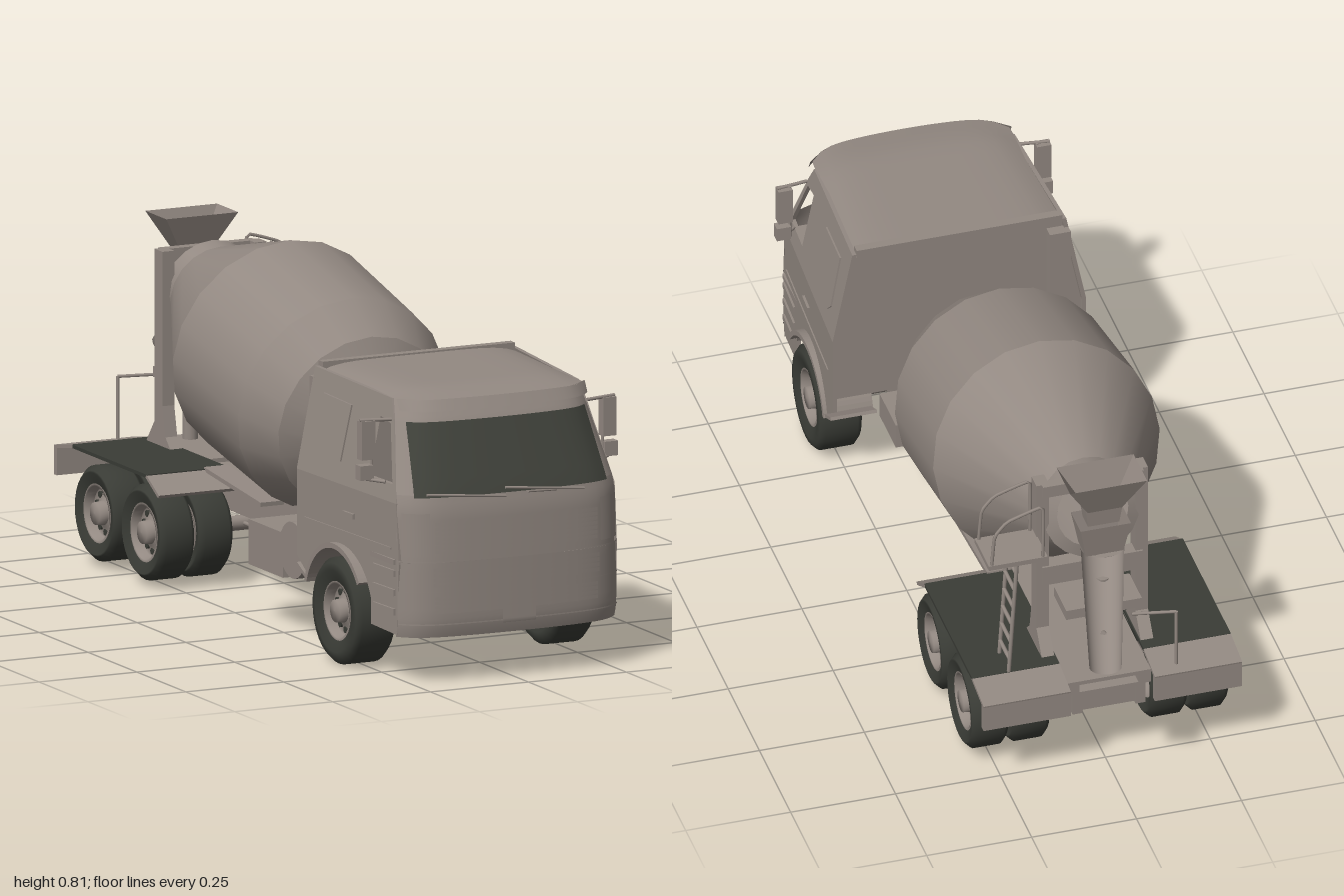
import * as THREE from 'three';

const M = (name, color, side = THREE.DoubleSide) => Object.assign(new THREE.MeshStandardMaterial({ color, side }), { name });
const V = (x, y, z) => new THREE.Vector3(x, y, z);
const lerp = THREE.MathUtils.lerp;

export function createModel() {
  const paint = M('greyBeigePaint', 0x938982);
  const glass = M('darkGlass', 0x40423b, THREE.FrontSide);
  const rubber = M('blackRubber', 0x3a3c36);
  const root = new THREE.Group();
  root.name = 'concreteMixerTruck';

  const add = (name, geo, mat = paint, parent = root) => {
    const m = new THREE.Mesh(geo, mat);
    m.name = name;
    parent.add(m);
    return m;
  };
  // Box given by its limits on each axis
  const box = (name, x0, x1, y0, y1, z0, z1, mat = paint) => {
    const m = add(name, new THREE.BoxGeometry(x1 - x0, y1 - y0, z1 - z0), mat);
    m.position.set((x0 + x1) / 2, (y0 + y1) / 2, (z0 + z1) / 2);
  };
  // Round bar between two points
  const rod = (name, a, b, r = 0.004, mat = paint, r2 = r, seg = 8) => {
    const d = b.clone().sub(a);
    const m = add(name, new THREE.CylinderGeometry(r2, r, d.length(), seg), mat);
    m.position.copy(a).addScaledVector(d, 0.5);
    m.quaternion.setFromUnitVectors(V(0, 1, 0), d.normalize());
  };
  // Flat plate following a line in the z-y plane
  const plate = (name, x0, x1, [za, ya], [zb, yb], t, mat = paint) => {
    const m = add(name, new THREE.BoxGeometry(x1 - x0, t, Math.hypot(zb - za, yb - ya)), mat);
    m.position.set((x0 + x1) / 2, (ya + yb) / 2, (za + zb) / 2);
    m.rotation.x = -Math.atan2(yb - ya, zb - za);
  };
  const bend = (geo, rule) => {
    const p = geo.attributes.position;
    for (let i = 0; i < p.count; i++) p.setXYZ(i, ...rule(p.getX(i), p.getY(i), p.getZ(i)));
    geo.computeVertexNormals();
    return geo;
  };
  const poly = pts => new THREE.Shape(pts.map(p => new THREE.Vector2(...p)));
  // Side-view shape (z, y) given thickness along x
  const slab = (name, shape, x0, x1) => {
    const m = add(name, new THREE.ExtrudeGeometry(shape, { depth: x1 - x0, bevelEnabled: false, curveSegments: 16 }));
    m.rotation.y = -Math.PI / 2;
    m.position.x = x1;
  };

  // Cab form: half width of the sides and depth of the curved front
  const W = (y, z) => 0.302 - 0.025 * (z - 0.42) / 0.5 - Math.max(0, y - 0.42) * 0.2;
  const profile = [[0.11, 0.938], [0.14, 0.947], [0.285, 0.947], [0.4, 0.943], [0.44, 0.935], [0.6, 0.865], [0.645, 0.84]];
  const frontZ = (x, y) => {
    let i = 0;
    while (i < profile.length - 2 && y > profile[i + 1][0]) i++;
    const [[ya, za], [yb, zb]] = [profile[i], profile[i + 1]];
    const u = Math.min(1, Math.abs(x / W(y, 0.88)));
    return lerp(za, zb, (y - ya) / (yb - ya)) - 0.02 * u * u - 0.04 * u ** 8;
  };
  // Curved front strip; centre and half width may change from bottom to top
  const patch = (name, y0, y1, mat = paint, off = 0, c0 = 0, h0 = null, h1 = h0, c1 = c0) =>
    add(name, bend(new THREE.PlaneGeometry(2, 1, 24, y1 - y0 > 0.02 ? 8 : 1), (u, v) => {
      const t = v + 0.5, y = lerp(y0, y1, t);
      const x = lerp(c0, c1, t) + u * (h0 === null ? W(y, 0.88) : lerp(h0, h1, t));
      return [x, y, frontZ(x, y) + off];
    }), mat);

  // Cab front
  patch('bumper', 0.11, 0.285, paint, 0.003);
  patch('nosePanel', 0.285, 0.44);
  patch('screenHeader', 0.595, 0.645);
  patch('windscreen', 0.435, 0.597, glass, 0.004, 0, 0.246, 0.228);
  for (const y of [0.14, 0.215, 0.286]) patch('panelRib', y, y + 0.003, paint, 0.006);
  for (const [y0, y1, n, h] of [[0.306, 0.38, 7, 0.21], [0.228, 0.275, 4, 0.215], [0.166, 0.208, 4, 0.21]]) {
    for (let i = 0; i < n; i++) {
      const y = lerp(y0, y1, (i + 0.5) / n), t = 0.38 * (y1 - y0) / n;
      patch('grilleSlat', y - t, y + t, paint, 0.008, 0, h - 0.003);
    }
    for (const x of [-0.15, -0.075, 0, 0.075, 0.15]) patch('grilleUpright', y0, y1, paint, 0.009, x, 0.003);
  }
  patch('numberPlateBlank', 0.135, 0.172, paint, 0.008, 0, 0.042);

  // Cab roof with visor, rear wall and floor
  add('roof', bend(new THREE.PlaneGeometry(2, 1, 16, 12), (u, v) => {
    const t = v + 0.5, x = u * W(0.65, lerp(0.84, 0.42, t));
    return [x, 0.645 + 0.018 * Math.min(1, 0.2 + 4 * t) * (1 - u ** 6), lerp(frontZ(x, 0.645) + 0.028, 0.42, t)];
  }));
  patch('sunVisor', 0.622, 0.648, paint, 0.028, 0, 0.24);
  const rear = poly([[-0.298, 0.25], [0.298, 0.25], [0.298, 0.42], [0.25, 0.65], [-0.25, 0.65], [-0.298, 0.42]]);
  add('rearWall', new THREE.ExtrudeGeometry(rear, { depth: 0.012, bevelEnabled: false })).position.z = 0.43;
  box('rearRoofLip', -0.245, 0.245, 0.645, 0.667, 0.418, 0.44);
  box('cabFloor', -0.285, 0.285, 0.278, 0.29, 0.43, 0.88);
  box('engineTunnel', -0.15, 0.15, 0.2, 0.28, 0.45, 0.88);
  box('dashboard', -0.265, 0.265, 0.4, 0.432, 0.79, 0.86);
  box('airIntake', -0.26, -0.21, 0.38, 0.63, 0.4, 0.428);

  for (const s of [1, -1]) {
    // Cab sides, flat sheets leaning inwards
    const sheet = (name, shape, lift = 0) => add(name, bend(
      new THREE.ExtrudeGeometry(shape, { depth: 0.01, bevelEnabled: false, curveSegments: 16 }),
      (X, Y, Z) => [s * (W(Y, X) + lift - Z), Y, X]));
    const low = poly([[0.765, 0.12], [0.885, 0.115], [0.895, 0.28], [0.882, 0.42], [0.42, 0.42], [0.42, 0.22], [0.476, 0.18]]);
    low.absarc(0.62, 0.125, 0.155, Math.PI - 0.36, 0.36, true);
    sheet('lowerCabSide', low);
    const up = poly([[0.882, 0.42], [0.875, 0.44], [0.805, 0.6], [0.78, 0.645], [0.42, 0.655], [0.42, 0.42]]);
    up.holes.push(poly([[0.85, 0.46], [0.795, 0.59], [0.745, 0.598], [0.745, 0.46]]));
    sheet('upperCabSide', up);
    sheet('quarterPanel', poly([[0.61, 0.47], [0.615, 0.6], [0.485, 0.605], [0.475, 0.48], [0.49, 0.465]]), 0.004);
    sheet('doorCrease', poly([[0.46, 0.31], [0.86, 0.31], [0.86, 0.315], [0.46, 0.315]]), 0.003);
    sheet('doorHandle', poly([[0.64, 0.35], [0.69, 0.35], [0.69, 0.362], [0.64, 0.362]]), 0.006);
    for (const y of [0.16, 0.205, 0.25]) sheet('cabStep', poly([[0.78, y], [0.88, y], [0.88, y + 0.015], [0.78, y + 0.015]]), 0.005);
    patch('screenPillar', 0.44, 0.597, paint, 0, s * 0.2595, 0.0155, 0.009, s * 0.235);

    // Front mudguard arch
    const arch = new THREE.Shape();
    arch.absarc(0.62, 0.125, 0.157, Math.PI - 0.3, 0.6, true);
    arch.absarc(0.62, 0.125, 0.145, 0.6, Math.PI - 0.3, false);
    slab('frontMudguard', arch, s > 0 ? 0.19 : -0.308, s > 0 ? 0.308 : -0.19);
    plate('mudguardFlap', s * 0.25 - 0.055, s * 0.25 + 0.055, [0.476, 0.175], [0.425, 0.2], 0.008);

    // Corner panel, mirrors and wipers
    patch('cornerPanel', 0.3, 0.4, paint, 0.006, s * 0.245, 0.028);
    box('mainMirror', s * 0.308 - 0.017, s * 0.308 + 0.017, 0.51, 0.6, 0.775, 0.8);
    box('wideMirror', s * 0.312 - 0.017, s * 0.312 + 0.017, 0.463, 0.497, 0.775, 0.8);
    rod('mirrorArm', V(s * 0.25, 0.6, 0.8), V(s * 0.325, 0.602, 0.788));
    rod('mirrorArm', V(s * 0.275, 0.46, 0.82), V(s * 0.31, 0.464, 0.788));
    rod('mirrorPost', V(s * 0.295, 0.46, 0.788), V(s * 0.295, 0.602, 0.788));
    rod('wiper', V(s * 0.1 - 0.13, 0.447, 0.942), V(s * 0.1 + 0.07, 0.428, 0.945), 0.003);

    // Chassis rails and rear mudguards
    box('chassisRail', s * 0.075 - 0.012, s * 0.075 + 0.012, 0.16, 0.215, -0.78, 0.88);
    box('subframeRail', s * 0.085 - 0.015, s * 0.085 + 0.015, 0.215, 0.25, -0.78, 0.3);
    rod('airPipe', V(s * 0.1, 0.15, -0.25), V(s * 0.1, 0.15, 0.42), 0.005);
    box('railBracket', s * 0.09 - 0.02, s * 0.09 + 0.02, 0.14, 0.17, -0.11, -0.06);
    const [a, b] = s > 0 ? [0.1, 0.308] : [-0.308, -0.1];
    plate('guardFront', a, b, [-0.275, 0.225], [-0.34, 0.262], 0.008);
    plate('guardTop', a, b, [-0.335, 0.262], [-0.72, 0.262], 0.008, rubber);
    plate('guardRear', a, b, [-0.715, 0.262], [-0.81, 0.245], 0.008);
    box('rearPanel', a, b, 0.18, 0.248, -0.81, -0.795);
    plate('deckFlare', s * 0.13 - 0.03, s * 0.13 + 0.03, [-0.05, 0.235], [-0.34, 0.265], 0.01);

    // Drum supports
    const front = poly([[0.18, 0.25], [0.3, 0.25], [0.27, 0.34], [0.26, 0.465], [0.22, 0.465], [0.235, 0.33]]);
    slab('frontDrumSupport', front, s * 0.07 - 0.01, s * 0.07 + 0.01);
    const post = poly([[-0.7, 0.25], [-0.55, 0.25], [-0.59, 0.29], [-0.605, 0.36], [-0.605, 0.72], [-0.645, 0.72], [-0.645, 0.32]]);
    slab('rearDrumPost', post, s * 0.118 - 0.015, s * 0.118 + 0.015);

    // Wheels: single at the front, twin at the rear
    const wheel = (name, x, z, w, R) => {
      const g = new THREE.Group(), h = w / 2;
      const lathe = (n, pts, m) => add(n, new THREE.LatheGeometry(pts.map(p => new THREE.Vector2(...p)), 32), m, g);
      g.name = name;
      g.position.set(s * x, 0.1245, z);
      g.rotation.z = -s * Math.PI / 2;
      lathe('tyre', [[0.066, 0.012 - h], [0.095, -h], [R - 0.012, 0.002 - h], [R, 0.014 - h], [R, h - 0.014], [R - 0.012, h - 0.002], [0.095, h], [0.066, h - 0.012]], rubber);
      lathe('rimFlange', [[0.069, h - 0.009], [0.063, h - 0.009], [0.058, h - 0.03]], paint);
      lathe('rimDish', [[0.058, h - 0.03], [0.05, h - 0.036], [0.028, h - 0.025]], paint);
      lathe('hub', [[0.028, h - 0.025], [0.026, h - 0.004], [0, h - 0.002]], paint);
      lathe('rimInside', [[0.067, 0.012 - h], [0.06, h - 0.037], [0, h - 0.037]], paint);
      for (let i = 0; i < 10; i++) {
        const t = i * Math.PI / 5;
        add('rimHole', new THREE.CylinderGeometry(0.008, 0.008, 0.008, 8), rubber, g).position.set(0.046 * Math.cos(t), h - 0.033, 0.046 * Math.sin(t));
      }
      root.add(g);
    };
    wheel('frontWheel', 0.256, 0.62, 0.104, 0.1235);
    for (const z of [-0.37, -0.61]) for (const x of [0.262, 0.164]) wheel('rearWheel', x, z, 0.09, 0.111);
  }
  rod('frontRod', V(0, 0.445, 0.998), V(0.1, 0.43, 0.942), 0.002);

  // Axles, cross members and deck
  for (const z of [0.62, -0.37, -0.61]) rod('axle', V(-0.25, 0.125, z), V(0.25, 0.125, z), 0.018, paint, 0.018, 12);
  rod('driveShaft', V(0, 0.15, 0.45), V(0, 0.13, -0.61), 0.012);
  for (const z of [0.25, -0.1, -0.49, -0.76]) box('crossMember', -0.08, 0.08, 0.165, 0.21, z - 0.015, z + 0.015);
  box('subframeFloor', -0.08, 0.08, 0.212, 0.22, -0.78, 0.45);
  box('rearDeck', -0.1, 0.1, 0.24, 0.25, -0.78, -0.5);

  // Tanks and boxes behind the cab
  box('toolBox', -0.255, -0.1, 0.13, 0.235, 0.08, 0.255);
  box('batteryBox', 0.1, 0.19, 0.19, 0.252, 0.29, 0.42);
  rod('airTank', V(-0.27, 0.21, 0.333), V(-0.135, 0.21, 0.333), 0.066, paint, 0.066, 24);
  rod('waterTank', V(-0.07, 0.326, 0.365), V(0.07, 0.326, 0.365), 0.06, paint, 0.06, 24);
  rod('filter', V(-0.11, 0.22, 0.38), V(-0.11, 0.36, 0.38), 0.028, paint, 0.028, 16);
  rod('drumMotor', V(0, 0.4, 0.31), V(0, 0.44, 0.21), 0.035, paint, 0.07, 16);
  box('motorBridge', -0.08, 0.08, 0.34, 0.38, 0.23, 0.27);

  // Mixing drum: straight bands on a tilted axis
  const drum = new THREE.Group();
  drum.name = 'mixingDrum';
  drum.position.set(0, 0.472, 0.045);
  drum.rotation.x = -1.355;
  root.add(drum);
  const bands = [[-0.18, 0.001], [-0.17, 0.12], [-0.11, 0.215], [0, 0.265], [0.33, 0.27], [0.66, 0.115], [0.7, 0.115], [0.71, 0.085]];
  for (let i = 0; i < bands.length - 1; i++) {
    const [[a, r], [b, q]] = [bands[i], bands[i + 1]];
    add('drumBand', new THREE.CylinderGeometry(q, r, b - a, 20, 1, true), paint, drum).position.y = (a + b) / 2;
  }
  box('drumRollerBeam', -0.12, 0.12, 0.44, 0.49, -0.65, -0.615);
  box('rearTopBeam', -0.12, 0.12, 0.69, 0.72, -0.655, -0.63);

  // Four-sided hopper and discharge funnel
  const funnel = (name, top, bottom, h, sx, y, z) => {
    const g = new THREE.CylinderGeometry(top * Math.SQRT2, bottom * Math.SQRT2, h, 4, 1, true).toNonIndexed();
    g.rotateY(Math.PI / 4);
    g.scale(sx, 1, 1);
    g.computeVertexNormals();
    add(name, g).position.set(0, y, z);
  };
  funnel('feedHopper', 0.054, 0.024, 0.085, 1.7, 0.738, -0.722);
  funnel('feedThroat', 0.026, 0.022, 0.05, 1.7, 0.675, -0.715);
  funnel('dischargeFunnel', 0.04, 0.03, 0.08, 1.5, 0.613, -0.715);
  rod('chutePivot', V(0, 0.25, -0.73), V(0, 0.5, -0.73), 0.018, paint, 0.018, 12);
  box('pivotArm', -0.09, 0.09, 0.4, 0.425, -0.74, -0.64);

  // Half-pipe chute slanting to the rear, open side up
  const from = V(-0.005, 0.565, -0.71), to = V(0.068, 0.43, -0.98), dir = to.clone().sub(from);
  const chute = add('chute', new THREE.CylinderGeometry(0.037, 0.05, dir.length(), 14, 1, true, Math.PI / 2, Math.PI));
  const unit = dir.clone().normalize(), side = unit.clone().cross(V(0, 1, 0)).normalize();
  chute.quaternion.setFromRotationMatrix(new THREE.Matrix4().makeBasis(side, unit, side.clone().cross(unit)));
  chute.position.copy(from).addScaledVector(dir, 0.5);
  rod('chuteStrut', V(0, 0.4, -0.73), V(0.04, 0.44, -0.87), 0.007);

  // Ladder, platform and handrail on the left
  box('platform', 0.13, 0.27, 0.565, 0.577, -0.725, -0.61);
  for (const z of [-0.64, -0.715]) rod('ladderRail', V(0.22, 0.26, z), V(0.2, 0.57, z), 0.005);
  for (let i = 0; i < 6; i++) {
    const x = 0.218 - i * 0.003, y = 0.3 + i * 0.048;
    rod('ladderRung', V(x, y, -0.64), V(x, y, -0.715), 0.005);
  }
  for (const z of [-0.615, -0.72]) {
    const path = [V(0.262, 0.575, z), V(0.255, 0.655, z), V(0.225, 0.69, z), V(0.14, 0.715, z), V(0.14, 0.575, z)];
    add('handrail', new THREE.TubeGeometry(new THREE.CatmullRomCurve3(path, false, 'catmullrom', 0.1), 24, 0.004, 6));
  }
  rod('guardHoop', V(-0.16, 0.25, -0.78), V(-0.16, 0.4, -0.78));
  rod('guardHoop', V(-0.16, 0.4, -0.78), V(-0.06, 0.4, -0.76));
  return root;
}
